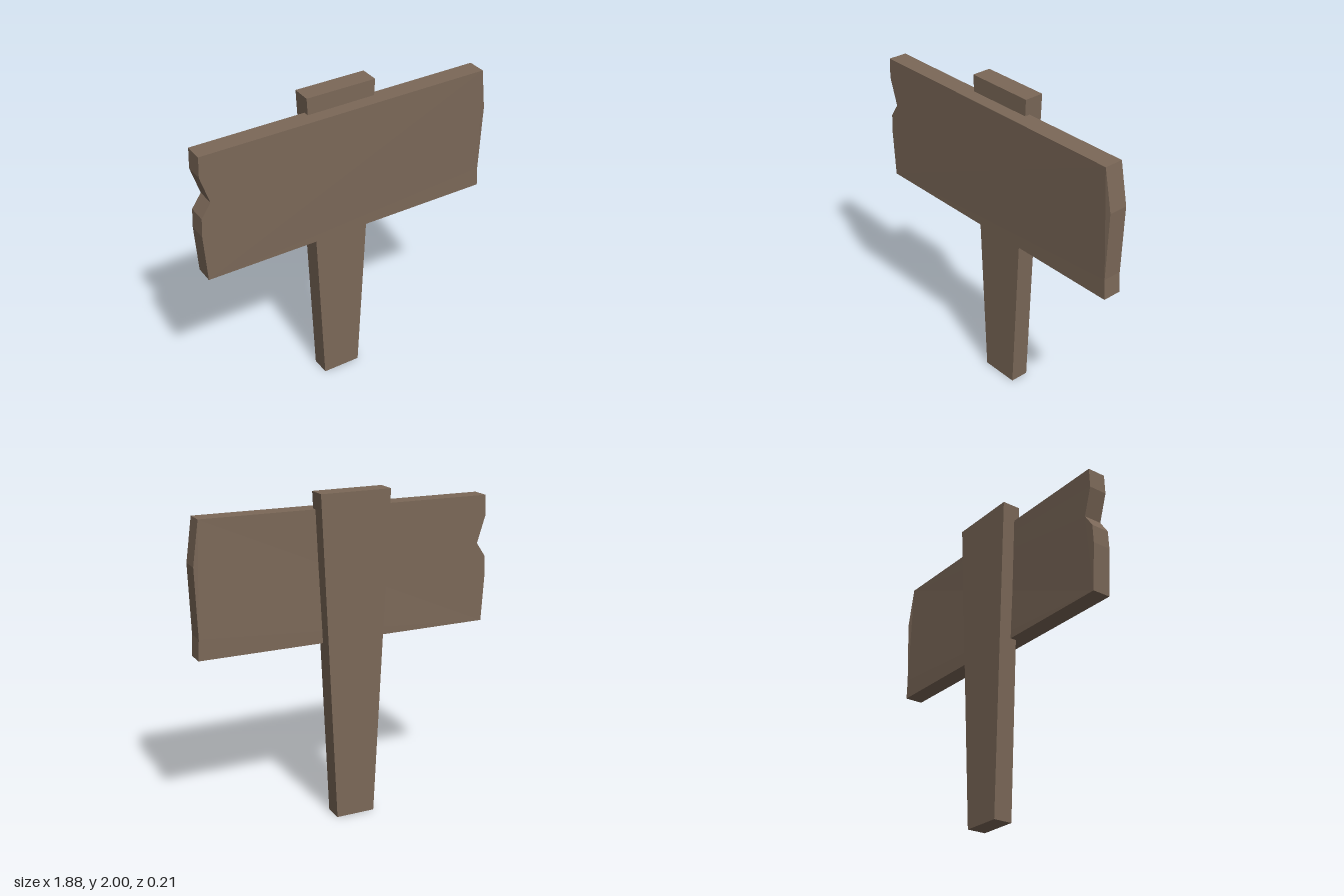
import * as THREE from 'three';

// Extrudes an outline of [x, y] points from zBack to zFront.
function plank(name, points, zBack, zFront, material) {
  const shape = new THREE.Shape(points.map(([x, y]) => new THREE.Vector2(x, y)));
  const geometry = new THREE.ExtrudeGeometry(shape, { depth: zFront - zBack, bevelEnabled: false });
  geometry.translate(0, 0, zBack);
  const mesh = new THREE.Mesh(geometry, material);
  mesh.name = name;
  return mesh;
}

export function createModel() {
  const wood = new THREE.MeshStandardMaterial({ color: 0x7b6858, flatShading: true });
  wood.name = 'weathered wood';

  const group = new THREE.Group();
  group.name = 'wooden sign';

  // Post, tapering towards the ground
  group.add(plank('post', [
    [-0.137, 0], [0.109, 0], [0.205, 2], [-0.235, 2],
  ], -0.104, 0.015, wood));

  // Board with a chipped notch at one end and a worn corner at the other
  const board = plank('board', [
    [-0.923, 1.105], [0.928, 1.105], [0.921, 1.23], [0.935, 1.645], [0.895, 1.904],
    [-0.926, 1.894], [-0.931, 1.77], [-0.877, 1.6], [-0.935, 1.515], [-0.941, 1.4],
  ], -0.024, 0.092, wood);

  // Slight warp: the worn top corner bends forward
  const position = board.geometry.attributes.position;
  for (let i = 0; i < position.count; i++) {
    const lift = Math.max(0, (position.getY(i) - 1.645) / 0.26);
    const side = Math.max(0, position.getX(i) / 0.9);
    position.setZ(i, position.getZ(i) + 0.011 * lift * side);
  }
  board.geometry.computeVertexNormals();
  group.add(board);

  return group;
}
